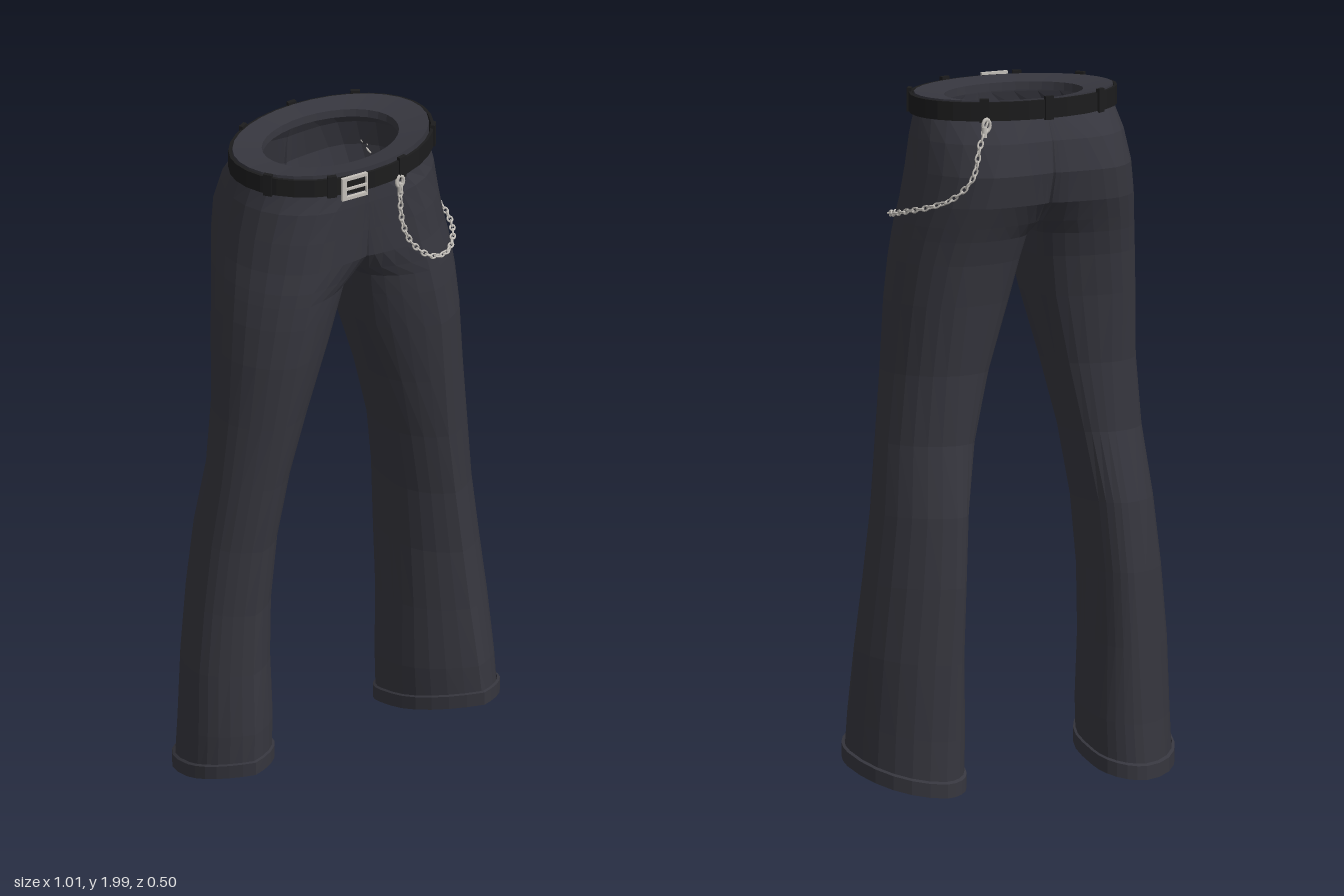
import * as THREE from 'three';

const cloth = new THREE.MeshStandardMaterial({ color: 0x36363e, side: THREE.DoubleSide });
cloth.name = 'charcoal cloth';
const leather = new THREE.MeshStandardMaterial({ color: 0x1c1c1d });
leather.name = 'black leather';
const metal = new THREE.MeshStandardMaterial({ color: 0xc4c0ba });
metal.name = 'steel';

const V = (x, y, z) => new THREE.Vector3(x, y, z);

// Skin closed rings listed bottom to top; quads lying wholly on x = 0 are left open
function loft(rings, mirror = false, openMiddle = false) {
  const pos = [];
  const n = rings[0].length;
  const tri = (...p) => {
    if (mirror) p.reverse();
    for (const v of p) pos.push(mirror ? -v.x : v.x, v.y, v.z);
  };
  for (let i = 0; i < rings.length - 1; i++) {
    for (let j = 0; j < n; j++) {
      const k = (j + 1) % n;
      const a = rings[i][j], b = rings[i][k], c = rings[i + 1][k], d = rings[i + 1][j];
      if (openMiddle && [a, b, c, d].every(v => Math.abs(v.x) < 1e-4)) continue;
      tri(a, d, c);
      tri(a, c, b);
    }
  }
  const g = new THREE.BufferGeometry();
  g.setAttribute('position', new THREE.Float32BufferAttribute(pos, 3));
  g.computeVertexNormals();
  return g;
}

// Leg sections: y, outer x, inner x, crease x, front z, back z, seam front z, seam back z, hem slope
const ROWS = [
  [0.06, 0.499, 0.22, 0.38, 0.208, -0.19, 0.03, -0.03, 0.28],
  [0.2, 0.492, 0.215, 0.372, 0.198, -0.185, 0.03, -0.03, 0.2],
  [0.4, 0.48, 0.22, 0.36, 0.172, -0.185, 0.03, -0.03, 0.1],
  [0.6, 0.458, 0.215, 0.345, 0.157, -0.185, 0.03, -0.03, 0],
  [0.8, 0.433, 0.2, 0.32, 0.157, -0.17, 0.03, -0.03, 0],
  [1.0, 0.41, 0.165, 0.29, 0.17, -0.13, 0.03, -0.03, 0],
  [1.2, 0.39, 0.113, 0.265, 0.19, -0.13, 0.04, -0.03, 0],
  [1.4, 0.378, 0.055, 0.24, 0.21, -0.155, 0.05, -0.05, 0],
  [1.52, 0.368, 0.032, 0.215, 0.215, -0.175, 0.07, -0.08, 0],
  [1.59, 0.359, 0.02, 0.2, 0.215, -0.195, 0.09, -0.1, 0],
  [1.63, 0.353, 0, 0.19, 0.215, -0.21, 0.13, -0.14, 0],
  [1.69, 0.342, 0, 0.17, 0.212, -0.235, 0.197, -0.208, 0],
  [1.78, 0.328, 0, 0.15, 0.21, -0.25, 0.206, -0.235, 0],
  [1.87, 0.315, 0, 0.11, 0.21, -0.232, 0.211, -0.226, 0],
  [1.94, 0.301, 0, 0.04, 0.208, -0.197, 0.21, -0.197, 0],
  [1.985, 0.298, 0, 0.03, 0.208, -0.195, 0.211, -0.195, 0],
];

// One section: back, outside, front crease, inside; the lower leg turns outward and is pinched in front
function section([y, xo, xi, cx, zf, zb, sf, sb, slope], grow = 0) {
  xo += grow; xi -= grow; zf += grow; zb -= grow;
  const skew = 0.045 * THREE.MathUtils.clamp((1.5 - y) / 0.9, 0, 1);
  const pinch = THREE.MathUtils.clamp(0.55 - 0.2 * y, 0.2, 0.55);
  const mid = (zf + zb) / 2 + skew, cxBack = cx - 1.3 * skew, S = 6, pts = [];
  const add = (x, z) => pts.push(V(x, y + slope * z, z));
  const quarter = (u, x0, x1, z0, z1, p) => {
    const c = Math.cos(u * Math.PI / 2) * (1 - p) + (1 - u) * p;
    add(x0 + (x1 - x0) * Math.sin(u * Math.PI / 2), z1 + (z0 - z1) * c);
  };
  sf -= skew; sb -= skew;
  for (let i = 0; i < S; i++) quarter(i / S, cxBack, xo, zb, mid, 3 * skew);
  for (let i = S; i > 0; i--) quarter(i / S, cx, xo, zf, mid, pinch);
  for (let i = 0; i < S; i++) quarter(i / S, cx, xi, zf, sf, pinch);
  for (let i = 0; i < 4; i++) add(xi, sf + (sb - sf) * i / 4);
  for (let i = S; i > 0; i--) quarter(i / S, cxBack, xi, zb, sb, 0);
  return pts;
}

// Oval ring round the waist, different depths in front and behind
const waistPoint = (a, rx, zf, zb, y) =>
  V(rx * Math.sin(a), y, Math.cos(a) * (Math.cos(a) > 0 ? zf : zb));
function waistRing(rx, zf, zb, y, n = 32) {
  return Array.from({ length: n }, (_, i) => waistPoint(Math.PI - i * 2 * Math.PI / n, rx, zf, zb, y));
}

export function createModel() {
  const model = new THREE.Group();
  model.name = 'trousers';
  const put = (name, geo, mat, parent = model) => {
    const m = new THREE.Mesh(geo, mat);
    m.name = name;
    parent.add(m);
    return m;
  };

  // Trouser halves with turned-up hems
  for (const [side, mirror] of [['left', false], ['right', true]]) {
    put(side + 'TrouserLeg', loft(ROWS.map(r => section(r)), mirror, true), cloth);
    const cuff = [[0.06, 0], [0.06, 0.008], [0.1, 0.008], [0.104, 0]]
      .map(([y, grow]) => section([y, ...ROWS[0].slice(1)], grow));
    put(side + 'Cuff', loft(cuff, mirror), cloth);
  }

  // Broad lip turned in at the waist
  put('waistLip', loft([
    waistRing(0.301, 0.214, 0.199, 1.95), waistRing(0.301, 0.214, 0.199, 1.99),
    waistRing(0.21, 0.15, 0.141, 1.978), waistRing(0.208, 0.148, 0.139, 1.955),
  ]), cloth);

  // Belt, standing slightly off the cloth in front
  const inner = y => waistRing(0.304, 0.23, 0.2, y), outer = y => waistRing(0.313, 0.238, 0.209, y);
  put('belt', loft([inner(1.932), outer(1.932), outer(1.986), inner(1.986), inner(1.932)]), leather);

  // Belt loops
  const loops = new THREE.Group();
  loops.name = 'beltLoops';
  model.add(loops);
  for (const a of [0.33, 1.08, 2.5, Math.PI, -0.42, -1.08, -2.5]) {
    const loop = put('beltLoop', new THREE.BoxGeometry(0.026, 0.068, 0.012), leather, loops);
    loop.position.copy(waistPoint(a, 0.312, 0.236, 0.208, 1.962));
    const p = loop.position;
    loop.rotation.y = Math.atan2(p.x / 0.098, p.z / 0.05);
  }

  // Buckle frame, heavier at its outer end, and pin
  const buckle = new THREE.Group();
  buckle.name = 'buckle';
  buckle.position.set(-0.065, 1.957, 0.236);
  buckle.rotation.y = -0.04;
  model.add(buckle);
  const rect = (T, x0, x1, h) => {
    const s = new T();
    s.moveTo(x0, -h); s.lineTo(x1, -h); s.lineTo(x1, h); s.lineTo(x0, h); s.closePath();
    return s;
  };
  const frame = rect(THREE.Shape, -0.044, 0.038, 0.036);
  frame.holes.push(rect(THREE.Path, -0.029, 0.034, 0.026));
  put('buckleFrame', new THREE.ExtrudeGeometry(frame, { depth: 0.01, bevelEnabled: false }), metal, buckle);
  put('bucklePin', new THREE.BoxGeometry(0.07, 0.007, 0.006), metal, buckle).position.set(0, 0, 0.009);

  // Hanging chain from the front loop round the left hip to the back
  const path = new THREE.CatmullRomCurve3([
    V(0.092, 1.92, 0.228), V(0.1, 1.79, 0.226), V(0.13, 1.71, 0.227), V(0.195, 1.645, 0.225),
    V(0.265, 1.625, 0.2), V(0.325, 1.635, 0.135), V(0.359, 1.65, 0.045), V(0.357, 1.67, -0.04),
    V(0.33, 1.69, -0.115), V(0.29, 1.72, -0.175), V(0.25, 1.78, -0.215), V(0.225, 1.87, -0.212),
    V(0.195, 1.925, -0.195),
  ]);
  const chain = new THREE.Group();
  chain.name = 'chain';
  model.add(chain);
  const linkGeo = new THREE.TorusGeometry(0.007, 0.0027, 10, 14).scale(1.6, 1, 1);
  const count = Math.round(path.getLength() / 0.02);
  for (let i = 0; i <= count; i++) {
    const link = put('chainLink', linkGeo, metal, chain);
    link.position.copy(path.getPointAt(i / count));
    link.quaternion.setFromUnitVectors(V(1, 0, 0), path.getTangentAt(i / count));
    link.rotateX(i % 2 ? Math.PI / 2 : 0);
  }

  // Clasps at both chain ends
  for (const t of [0, 1]) {
    const clasp = put('chainClasp', new THREE.TorusGeometry(0.012, 0.0045, 10, 14).scale(1, 1.4, 1), metal, chain);
    clasp.position.copy(path.getPointAt(t));
    const body = put('claspBody', new THREE.CylinderGeometry(0.008, 0.008, 0.03, 12), metal, chain);
    body.position.copy(path.getPointAt(t ? 0.98 : 0.02));
  }
  return model;
}
